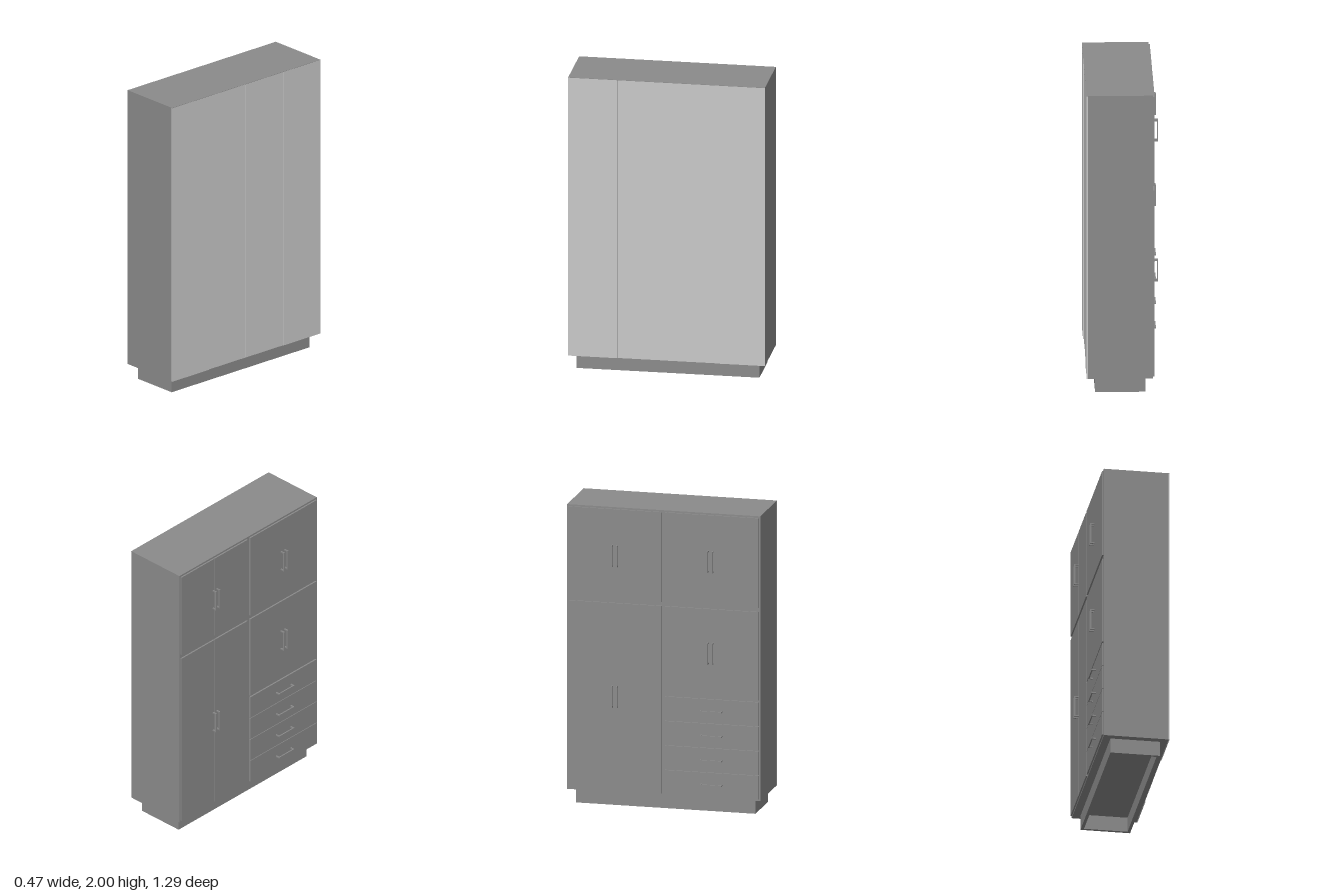
import * as THREE from 'three';

const grey = new THREE.MeshStandardMaterial({ color: 0x8b8b8b });
grey.name = 'grey';
const paleGrey = new THREE.MeshStandardMaterial({ color: 0xc9c9c9 });
paleGrey.name = 'pale grey';

// Box given by its lower and upper corners
function box(parent, name, material, [x0, y0, z0], [x1, y1, z1]) {
  const mesh = new THREE.Mesh(new THREE.BoxGeometry(x1 - x0, y1 - y0, z1 - z0), material);
  mesh.position.set((x0 + x1) / 2, (y0 + y1) / 2, (z0 + z1) / 2);
  mesh.name = name;
  parent.add(mesh);
  return mesh;
}

const FACE = -0.205; // outer plane of the doors
const BAR = 0.008;   // handle bar thickness
const REACH = -0.235;
const GRIP = 0.143;  // handle length

// Bar on two posts, upright or level
function handle(parent, name, y, z, level) {
  const group = new THREE.Group();
  group.name = name;
  const h = GRIP / 2, b = BAR / 2;
  const piece = (part, x0, x1, a0, a1) => level
    ? box(group, part, grey, [x0, -b, a0], [x1, b, a1])
    : box(group, part, grey, [x0, a0, -b], [x1, a1, b]);
  piece('handleBar', REACH, REACH + BAR, -h, h);
  piece('handlePost', REACH + BAR, FACE, -h, -h + BAR);
  piece('handlePost', REACH + BAR, FACE, h - BAR, h);
  group.position.set(0, y, z);
  parent.add(group);
}

export function createModel() {
  const cabinet = new THREE.Group();
  cabinet.name = 'cabinet';

  // Carcass
  box(cabinet, 'carcass', grey, [-0.195, 0.1, -0.645], [0.228, 2, 0.645]);

  // Back panels, set at slightly different depths
  const backs = [[-0.645, -0.325, 0.235], [-0.325, 0, 0.231], [0, 0.32, 0.23], [0.32, 0.645, 0.235]];
  for (const [z0, z1, x] of backs) {
    box(cabinet, 'backPanel', paleGrey, [0.228, 0.1, z0], [x, 1.998, z1]);
  }
  // Top edge over the back panels
  box(cabinet, 'topEdge', grey, [0.228, 1.998, -0.645], [0.235, 2, 0.645]);

  // Hollow plinth
  const t = 0.02;
  for (const s of [-1, 1]) {
    const z = s * 0.59;
    box(cabinet, 'plinthEnd', grey, [-0.145, 0, z - t / 2], [0.18, 0.1, z + t / 2]);
  }
  for (const x of [-0.145, 0.16]) {
    box(cabinet, 'plinthSide', grey, [x, 0, -0.58], [x + t, 0.1, 0.58]);
  }

  // Doors: y range, z range
  const doors = [
    [1.39, 1.988, -0.635, -0.324], [1.39, 1.988, -0.32, -0.014],
    [0.11, 1.362, -0.635, -0.324], [0.11, 1.362, -0.32, -0.014],
    [1.39, 1.988, 0.01, 0.633], [0.772, 1.362, 0.01, 0.633],
  ];
  for (const [y0, y1, z0, z1] of doors) {
    box(cabinet, 'door', grey, [FACE, y0, z0], [-0.195, y1, z1]);
  }

  // Paired door handles
  for (const [y, z] of [[1.68, -0.322], [0.74, -0.322], [1.68, 0.316], [1.068, 0.316]]) {
    for (const s of [-1, 1]) handle(cabinet, 'doorHandle', y, z + s * 0.0165, false);
  }

  // Drawers
  for (let i = 0; i < 4; i++) {
    const y = 0.11 + i * 0.1635;
    box(cabinet, 'drawerFront', grey, [FACE, y, 0.01], [-0.195, y + 0.1595, 0.633]);
    handle(cabinet, 'drawerHandle', y + 0.081, 0.322, true);
  }

  return cabinet;
}
